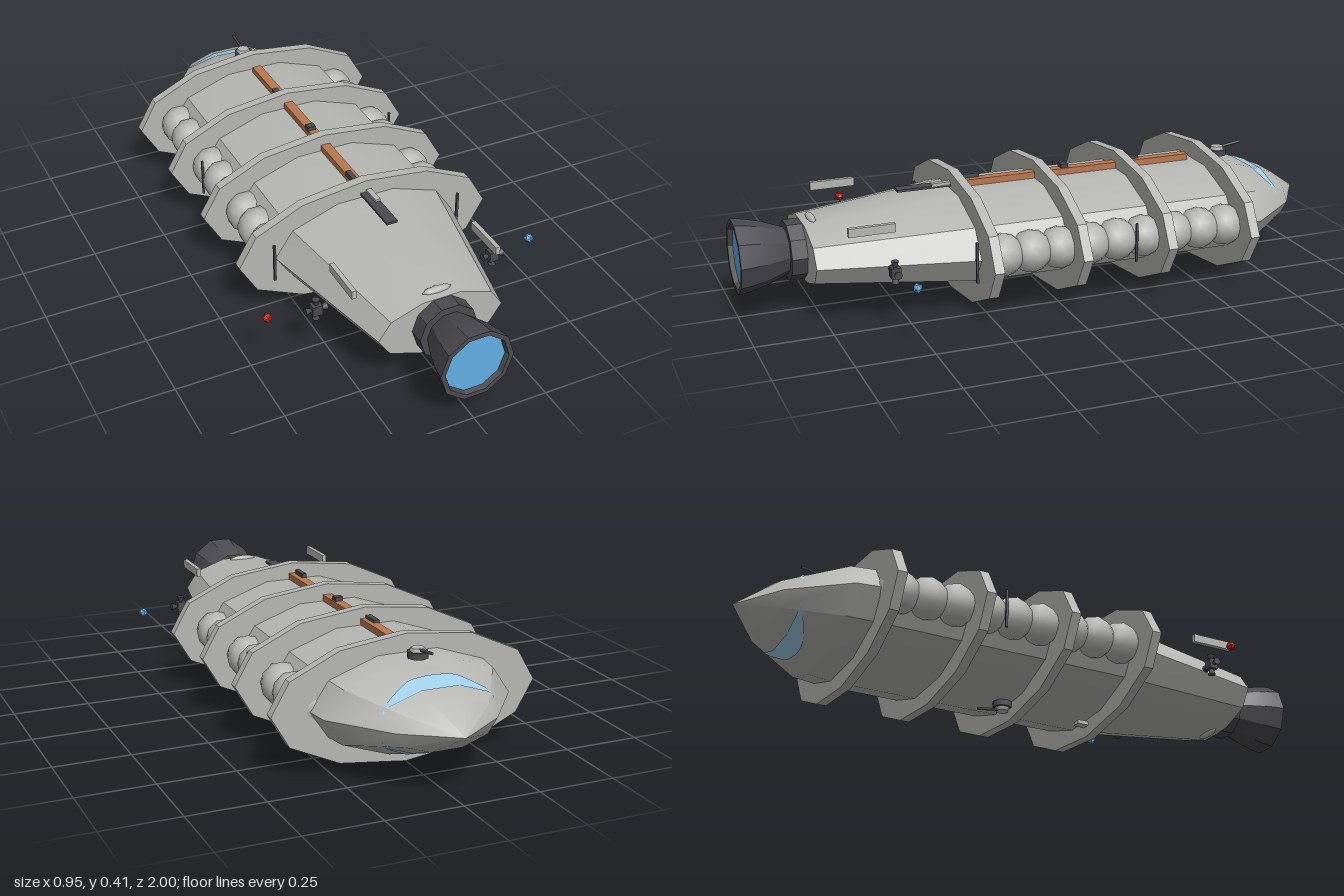
import * as THREE from 'three';
import { toCreasedNormals } from 'three/addons/utils/BufferGeometryUtils.js';

const CY = 0.205;      // height of the ship's axis
const FLAT = 0.478;    // hull height relative to its width
const mat = (name, color) => {
  const m = new THREE.MeshStandardMaterial({ color });
  m.name = name;
  return m;
};

export function createModel() {
  const ship = new THREE.Group();
  ship.name = 'spaceship';
  const hullGrey = mat('hullGrey', 0xb6b6b2);
  const darkMetal = mat('darkMetal', 0x4a4a50);
  const copper = mat('copper', 0xb87850);
  const glowBlue = mat('glowBlue', 0x62aee2);
  const windowBlue = mat('windowBlue', 0xa0cfe8);
  windowBlue.side = THREE.DoubleSide;
  const redLight = mat('redLight', 0xcc2a14);

  const add = (name, geo, material, x = 0, y = 0, z = 0, parent = ship) => {
    const m = new THREE.Mesh(geo, material);
    m.name = name;
    m.position.set(x, y, z);
    parent.add(m);
    return m;
  };
  const box = (name, material, w, h, d, x, y, z, parent) =>
    add(name, new THREE.BoxGeometry(w, h, d), material, x, y, z, parent);
  // ten-sided body along z, from [radius, z] pairs running back to front of the ship
  const loft = (profile, flat, crease) => {
    const g = new THREE.LatheGeometry(profile.map(p => new THREE.Vector2(p[0], p[1])), 10);
    g.rotateY(Math.PI / 2).rotateX(Math.PI / 2).scale(1, flat, 1);
    return toCreasedNormals(g, crease);
  };

  // Hull with pointed nose and tapered tail
  const nose = [[0, -1], [0.165, -0.89], [0.307, -0.71], [0.32, -0.615]];
  add('hull', loft([...nose, [0.32, 0.27], [0.21, 0.785], [0, 0.785]], FLAT, 0.55), hullGrey, 0, CY, 0);

  // Window bands laid on the nose, above and below
  const hullHeight = (x, z) => {
    const r = 0.165 + (z + 0.89) / 0.18 * 0.142;
    const u = Math.abs(x) / r;
    const h = u < 0.309 ? 0.951 : u < 0.809 ? 0.951 - (u - 0.309) * 0.726
      : 0.588 * Math.max(0, 1 - (u - 0.809) / 0.191);
    return h * r * FLAT;
  };
  for (const s of [1, -1]) {
    const pos = [], idx = [], n = 18;
    for (let i = 0; i <= n; i++) {
      const t = i / n * 2 - 1, x = t * 0.18;
      for (const z of [-0.84, -0.835 + 0.055 * (1 - t * t)])
        pos.push(x, CY + s * (hullHeight(x, z) + 0.004), z);
      if (i < n) {
        const a = i * 2;
        idx.push(...(s > 0 ? [a, a + 1, a + 2, a + 2, a + 1, a + 3] : [a, a + 2, a + 1, a + 2, a + 3, a + 1]));
      }
    }
    const g = new THREE.BufferGeometry();
    g.setAttribute('position', new THREE.Float32BufferAttribute(pos, 3));
    g.setIndex(idx);
    g.computeVertexNormals();
    add(s > 0 ? 'upperWindow' : 'lowerWindow', g, windowBlue);
  }

  // Four twelve-sided frame plates
  const plate = new THREE.CylinderGeometry(0.44, 0.44, 0.032, 12).rotateX(Math.PI / 2).scale(1, 0.204 / 0.44, 1);
  const plateGeo = toCreasedNormals(plate, 0.1);
  for (let i = 0; i < 4; i++) add('framePlate', plateGeo, hullGrey, 0, 0.204, 0.27 - i * 0.295);

  // Engine collar, nozzle and glow
  add('engineCollar', loft([[0, 0.78], [0.098, 0.78], [0.098, 0.835], [0, 0.835]], 1, 0.3), darkMetal, 0, CY, 0);
  add('engineNozzle', loft([[0.072, 0.83], [0.085, 0.86], [0.102, 0.905], [0.115, 0.955],
    [0.122, 1], [0.106, 1], [0.1, 0.98]], 1, 0.3), darkMetal, 0, CY, 0);
  add('engineGlow', new THREE.CircleGeometry(0.102, 10), glowBlue, 0, CY, 0.984);

  // Spherical tanks, three between each pair of plates on both sides
  const tank = new THREE.IcosahedronGeometry(0.07, 1);
  // Thruster nozzle flaring outward along +y
  const flare = new THREE.CylinderGeometry(0.013, 0.006, 0.02, 8).translate(0, 0.026, 0);
  for (const s of [1, -1]) {
    for (let g = 0; g < 3; g++)
      for (let k = -1; k <= 1; k++)
        add('tank', tank, hullGrey, s * 0.3, 0.21, 0.115 - g * 0.295 + k * 0.095);

    // Attitude thruster block
    const block = new THREE.Group();
    block.name = 'thrusterBlock';
    block.position.set(s * 0.309, CY, 0.565);
    ship.add(block);
    box('thrusterBody', darkMetal, 0.032, 0.034, 0.03, 0, 0, 0, block);
    for (let k = 0; k < 4; k++) add('thrusterNozzle', flare, darkMetal, 0, 0, 0, block).rotation.z = k * Math.PI / 2;

    // Aerials, tail fins and navigation lights
    box('sideAerial', darkMetal, 0.008, 0.135, 0.008, s * 0.328, CY, 0.305);
    box('tankAerial', darkMetal, 0.007, 0.13, 0.007, s * 0.355, 0.21, -0.228);
    box('tailFin', hullGrey, 0.015, 0.028, 0.15, s * 0.245, 0.327, 0.617);
    add('navigationLight', new THREE.IcosahedronGeometry(0.016, 0), s > 0 ? glowBlue : redLight, s * 0.459, CY, 0.54);

    // Flattened sensor blister on top and bottom of the tail
    const blister = add('tailSensor', new THREE.SphereGeometry(1, 8, 6), hullGrey, 0, CY + s * 0.1, 0.75);
    blister.scale.set(0.05, 0.012, 0.014);
  }

  // Copper spine with dark fittings
  box('spine', copper, 0.032, 0.022, 0.84, 0, 0.361, -0.155);
  box('spineTailPlate', darkMetal, 0.038, 0.008, 0.195, 0, 0.362, 0.368);
  box('spineClamp', darkMetal, 0.02, 0.012, 0.06, -0.01, 0.375, -0.365);
  box('spineClamp', darkMetal, 0.028, 0.02, 0.025, -0.003, 0.375, -0.118);
  box('spineClamp', darkMetal, 0.016, 0.018, 0.06, -0.011, 0.377, 0.21);
  box('spineLatch', hullGrey, 0.018, 0.01, 0.07, 0.01, 0.369, 0.315);

  // Turrets: one on the nose, one underneath
  const turret = (name, y, z, up) => {
    const t = new THREE.Group();
    t.name = name;
    t.position.set(0, y, z);
    t.scale.setScalar(1);
    if (up < 0) t.rotation.z = Math.PI;
    ship.add(t);
    add('turretBase', new THREE.CylinderGeometry(0.033, 0.033, 0.02, 8), darkMetal, 0, 0.005, 0, t);
    add('turretCap', new THREE.CylinderGeometry(0.022, 0.026, 0.012, 6), hullGrey, 0, 0.02, 0, t);
    const barrel = add('turretBarrel', new THREE.CylinderGeometry(0.005, 0.005, 0.08, 6), darkMetal, 0, 0.027, -0.05, t);
    barrel.rotation.x = Math.PI / 2 + 0.15;
  };
  turret('noseTurret', 0.357, -0.697, 1);
  turret('bellyTurret', 0.055, -0.065, -1);
  box('bellyBox', hullGrey, 0.03, 0.013, 0.09, 0, 0.043, 0.26);

  return ship;
}
